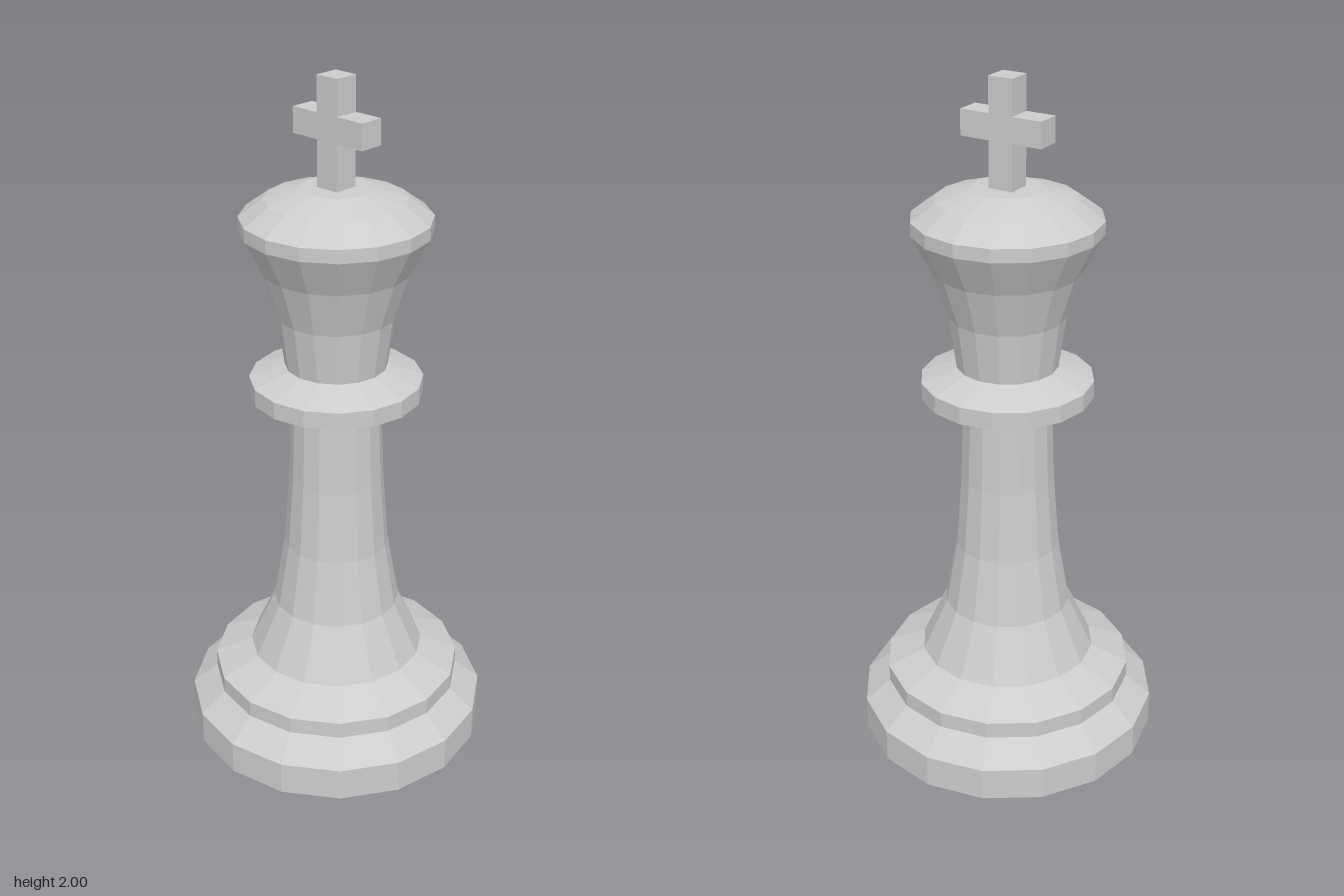
import * as THREE from 'three';

const SIDES = 16;

export function createModel() {
  const group = new THREE.Group();
  const grey = new THREE.MeshStandardMaterial({ color: 0xcccccc, flatShading: true });
  grey.name = 'light grey';

  const add = (name, geometry) => {
    const mesh = new THREE.Mesh(geometry, grey);
    mesh.name = name;
    group.add(mesh);
  };

  // Turned parts, stacked bottom to top: [radius, height]
  const turned = {
    base: [[0, 0], [0.444, 0], [0.444, 0.1], [0.37, 0.162], [0.37, 0.212], [0.26, 0.262]],
    stem: [[0.26, 0.262], [0.187, 0.423], [0.153, 0.62], [0.137, 0.838], [0.129, 1.064]],
    collar: [[0.129, 1.064], [0.246, 1.1], [0.246, 1.15], [0.145, 1.188]],
    head: [[0.145, 1.188], [0.165, 1.338], [0.208, 1.472], [0.265, 1.582], [0.265, 1.62]],
    dome: [[0.265, 1.62], [0.197, 1.67], [0.1, 1.7], [0, 1.702]],
  };
  for (const [name, points] of Object.entries(turned)) {
    add(name, new THREE.LatheGeometry(points.map(([r, y]) => new THREE.Vector2(r, y)), SIDES));
  }

  // Cross finial
  const w = 0.036, arm = 0.124, low = 1.83, high = 1.902;
  const outline = [
    [-w, 1.69], [w, 1.69], [w, low], [arm, low], [arm, high], [w, high],
    [w, 2], [-w, 2], [-w, high], [-arm, high], [-arm, low], [-w, low],
  ];
  const shape = new THREE.Shape(outline.map(([x, y]) => new THREE.Vector2(x, y)));
  const cross = new THREE.ExtrudeGeometry(shape, { depth: 2 * w, bevelEnabled: false });
  add('cross', cross.translate(0, 0, -w));

  return group;
}
